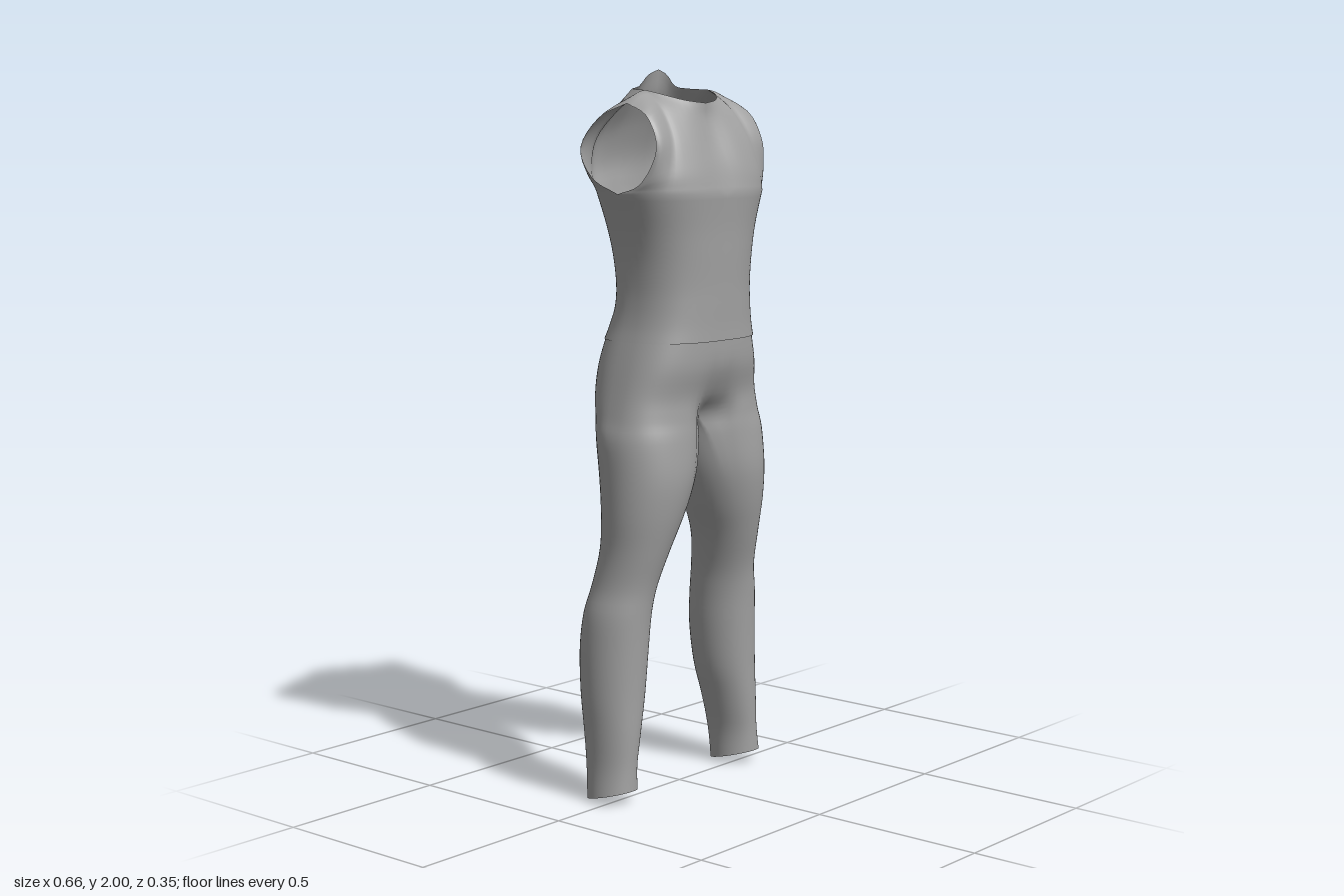
import * as THREE from 'three';
import { mergeVertices } from 'three/addons/utils/BufferGeometryUtils.js';

const OUTER = 36, INNER = 12, SUB = 4;
const V = (x, y, z) => new THREE.Vector3(x, y, z);
const lerp = THREE.MathUtils.lerp;
const curve = (pts) => new THREE.CatmullRomCurve3(pts.map((p) => V(...p)), false, 'catmullrom', 0.5);

// Key sections: y, inner x, outer x, front z, back z, joined (1 = halves meet at x 0), front dip, back dip
const LEGS = [
  [0.02, 0.205, 0.33, 0.06, -0.09, 0, 0, 0],
  [0.1, 0.205, 0.32, 0.058, -0.1, 0, 0, 0],
  [0.2, 0.185, 0.32, 0.06, -0.115, 0, 0, 0],
  [0.3, 0.16, 0.323, 0.06, -0.13, 0, 0, 0],
  [0.42, 0.145, 0.322, 0.063, -0.137, 0, 0, 0],
  [0.52, 0.138, 0.315, 0.068, -0.128, 0, 0, 0],
  [0.6, 0.128, 0.295, 0.078, -0.112, 0, 0, 0],
  [0.7, 0.1, 0.285, 0.105, -0.095, 0, 0, 0],
  [0.8, 0.055, 0.287, 0.13, -0.1, 0, 0, 0],
  [0.9, 0.02, 0.287, 0.145, -0.115, 0.1, 0.4, 0.5],
  [1.0, 0, 0.285, 0.145, -0.135, 0.5, 0.5, 0.6],
  [1.06, 0, 0.27, 0.143, -0.16, 1, 0.5, 0.6],
  [1.12, 0, 0.255, 0.142, -0.18, 1, 0.15, 0.4],
  [1.2, 0, 0.235, 0.16, -0.182, 1, 0.03, 0.22],
  [1.28, 0, 0.213, 0.163, -0.162, 1, 0.02, 0.08],
];
const CROTCH = 11;
const TORSO = [
  [1.27, 0, 0.218, 0.168, -0.168, 1, 0.02, 0.06],
  [1.31, 0, 0.208, 0.167, -0.15, 1, 0.02, 0.06],
  [1.36, 0, 0.201, 0.167, -0.13, 1, 0.02, 0.07],
  [1.42, 0, 0.199, 0.167, -0.125, 1, 0.02, 0.08],
  [1.5, 0, 0.205, 0.17, -0.135, 1, 0.03, 0.09],
  [1.58, 0, 0.222, 0.173, -0.15, 1, 0.04, 0.1],
  [1.67, 0, 0.253, 0.18, -0.168, 1, 0.05, 0.13],
];

// Smoothly interpolate the key sections
function sampleRows(keys) {
  const rows = [];
  const at = (i) => keys[THREE.MathUtils.clamp(i, 0, keys.length - 1)];
  for (let i = 0; i < keys.length - 1; i++) {
    for (let k = 0; k < SUB; k++) {
      const t = k / SUB;
      rows.push(keys[i].map((b, c) => {
        const a = at(i - 1)[c], d = at(i + 1)[c], e = at(i + 2)[c];
        return b + 0.5 * t * (d - a + t * (2 * a - 5 * b + 4 * d - e + t * (3 * (b - d) + e - a)));
      }));
    }
  }
  rows.push(keys[keys.length - 1]);
  return rows;
}

// One half-body loop: front centre, round the outside to the back, then along the inside
function section([y, xi, xo, zf, zb, joined, nf, nb]) {
  const m = THREE.MathUtils.clamp(joined, 0, 1);
  const cx = (xi + xo) / 2, rx = (xo - xi) / 2, cz = (zf + zb) / 2, rz = (zf - zb) / 2;
  const reach = THREE.MathUtils.degToRad(130), e = 0.78;
  const pts = [];
  for (let i = 0; i <= OUTER + INNER; i++) {
    let a, tx, tz;
    if (i <= OUTER) {
      const th = (i / OUTER) * Math.PI, c = Math.cos(th);
      a = reach * (1 - (2 * i) / OUTER);
      tx = xo * Math.pow(Math.max(0, Math.sin(th)), e);
      const dip = (c > 0 ? nf : nb) * Math.exp(-((tx / 0.06) ** 2));
      tz = (c > 0 ? zf : zb) * Math.pow(Math.abs(c), e) * (1 - Math.max(0, dip));
    } else {
      const f = (i - OUTER) / INNER;
      a = -reach - f * 2 * (Math.PI - reach);
      tx = 0;
      tz = lerp(zb * (1 - nb), zf * (1 - nf), f);
    }
    const x = Math.max(0, lerp(cx + rx * Math.cos(a), tx, m));
    const z = lerp(cz + rz * Math.sin(a), tz, m);
    // hems slope up towards the front
    const hem = 0.3 * (z + 0.015) * Math.max(0, 1 - y / 0.15);
    pts.push(V(x, y + hem, z));
  }
  return pts;
}

// Collects quads for both mirrored halves and welds them
class Surface {
  constructor() { this.pos = []; }
  tri(a, b, c) {
    for (const p of [a, b, c]) this.pos.push(p.x, p.y, p.z);
    for (const p of [a, c, b]) this.pos.push(-p.x, p.y, p.z);
  }
  grid(rows, flip = false, columns = () => Infinity) {
    for (let j = 0; j < rows.length - 1; j++) {
      const n = Math.min(rows[j].length - 1, columns(j));
      for (let i = 0; i < n; i++) {
        const a = rows[j][i], b = rows[j][i + 1], c = rows[j + 1][i + 1], d = rows[j + 1][i];
        if (flip) { this.tri(a, c, b); this.tri(a, d, c); }
        else { this.tri(a, b, c); this.tri(a, c, d); }
      }
    }
  }
  mesh(name, material) {
    let g = new THREE.BufferGeometry();
    g.setAttribute('position', new THREE.Float32BufferAttribute(this.pos, 3));
    g = mergeVertices(g, 1e-4);
    g.computeVertexNormals();
    const mesh = new THREE.Mesh(g, material);
    mesh.name = name;
    return mesh;
  }
}

// Patch filling the space between chest line, centre line, neck and shoulder line, and armhole edge
function yokePatch(bottom, centre, neck, arm) {
  const n = bottom.length - 1, rows = [], T = 18, split = 0.55;
  const neckEnd = neck.getPoint(1), tip = arm.getPoint(1);
  const top = (s) => {
    if (s <= split) return neck.getPoint(s / split);
    const f = (s - split) / (1 - split);
    const p = neckEnd.clone().lerp(tip, f);
    p.y += 0.008 * Math.sin(Math.PI * f);
    return p;
  };
  const c00 = bottom[0], c10 = bottom[n], c01 = top(0), c11 = tip;
  for (let j = 0; j <= T; j++) {
    const t = j / T, row = [];
    for (let i = 0; i <= n; i++) {
      const s = i / n;
      const p = V(0, 0, 0)
        .addScaledVector(bottom[i], 1 - t).addScaledVector(top(s), t)
        .addScaledVector(centre.getPoint(t), 1 - s).addScaledVector(arm.getPoint(t), s)
        .addScaledVector(c00, -(1 - s) * (1 - t)).addScaledVector(c10, -s * (1 - t))
        .addScaledVector(c01, -(1 - s) * t).addScaledVector(c11, -s * t);
      row.push(p);
    }
    rows.push(row);
  }
  return rows;
}

export function createModel() {
  const group = new THREE.Group();
  group.name = 'sleevelessSuit';
  const grey = new THREE.MeshStandardMaterial({ color: 0xa0a0a0, side: THREE.DoubleSide });
  grey.name = 'grey fabric';

  // Trousers: two legs that join at the crotch
  const trousers = new Surface();
  trousers.grid(sampleRows(LEGS).map(section), false, (j) => (j < CROTCH * SUB ? Infinity : OUTER));
  group.add(trousers.mesh('trousers', grey));

  // Top: waist to chest
  const top = new Surface();
  const rows = sampleRows(TORSO).map((r) => section(r).slice(0, OUTER + 1));
  top.grid(rows);

  // Front and back yokes around the armholes and neck
  const chest = rows[rows.length - 1];
  const front = chest.slice(0, OUTER / 2 + 1);
  const back = chest.slice(OUTER / 2).reverse();
  const side = front[front.length - 1].toArray();
  top.grid(yokePatch(
    front,
    curve([front[0].toArray(), [0, 1.74, 0.148], [0, 1.81, 0.116], [0, 1.87, 0.096], [0, 1.91, 0.095]]),
    curve([[0, 1.91, 0.095], [0.065, 1.918, 0.075], [0.115, 1.935, 0.03], [0.13, 1.945, -0.01]]),
    curve([side, [0.245, 1.7, 0.075], [0.225, 1.79, 0.112], [0.22, 1.875, 0.075], [0.215, 1.91, 0]]),
  ));
  top.grid(yokePatch(
    back,
    curve([back[0].toArray(), [0, 1.76, -0.147], [0, 1.85, -0.12], [0, 1.93, -0.085], [0, 2, -0.075]]),
    curve([[0, 2, -0.075], [0.04, 1.985, -0.078], [0.075, 1.955, -0.08], [0.115, 1.948, -0.07], [0.13, 1.945, -0.01]]),
    curve([side, [0.263, 1.71, -0.08], [0.273, 1.79, -0.115], [0.24, 1.87, -0.08], [0.215, 1.91, 0]]),
  ), true);
  group.add(top.mesh('sleevelessTop', grey));

  return group;
}
